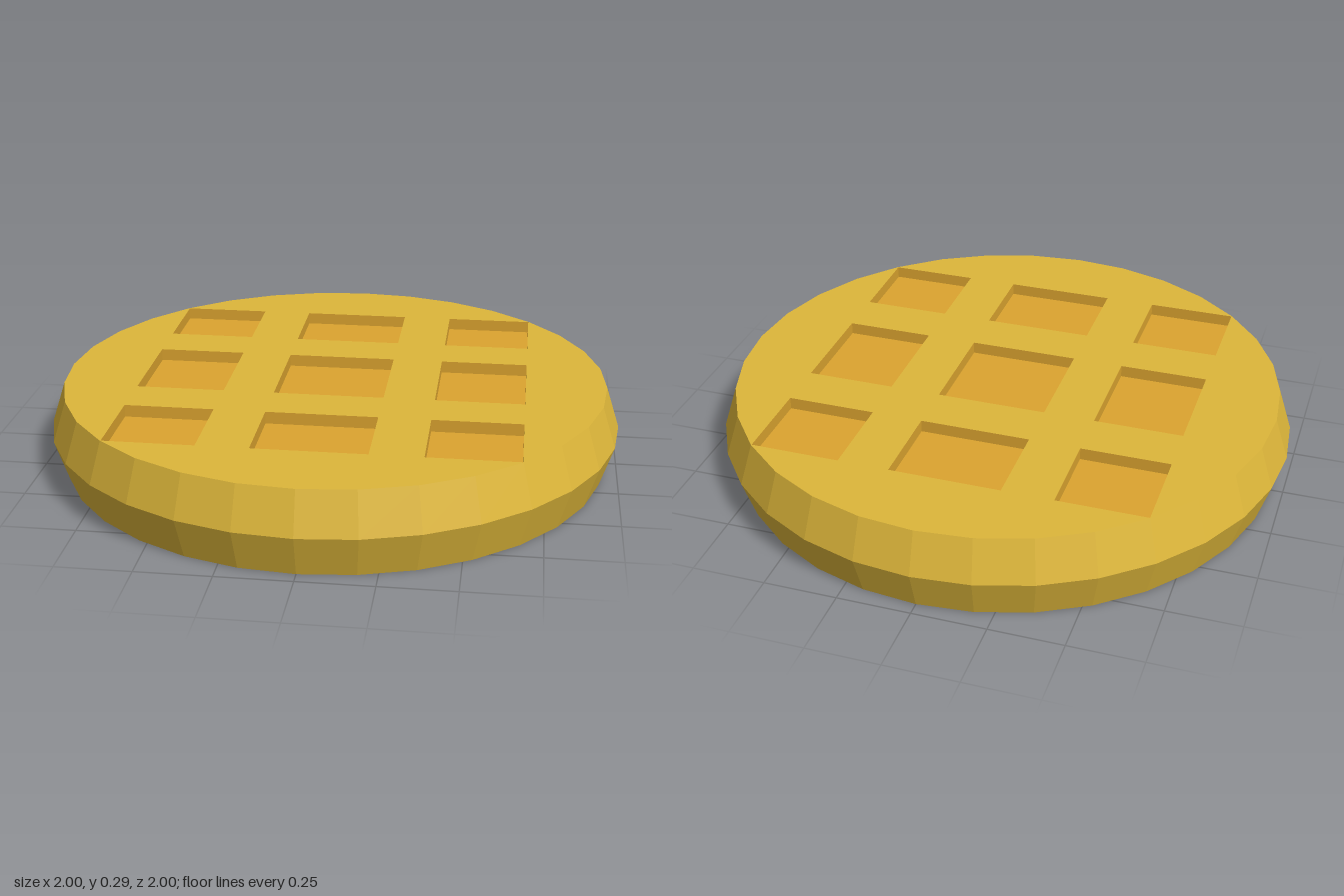
import * as THREE from 'three';
import { mergeGeometries } from 'three/addons/utils/BufferGeometryUtils.js';

const SIDES = 32, HEIGHT = 0.287, FACE_R = 0.953, DEPTH = 0.042;
// Pocket rows: the same [centre, size] bands run along x and z
const BANDS = [[-0.519, 0.306], [0, 0.38], [0.519, 0.306]];

// Sunken rectangular tray: a floor and four inward-facing walls, opening at y = 0
function trayGeometry(w, d) {
  const parts = [new THREE.PlaneGeometry(w, d).rotateX(-Math.PI / 2).translate(0, -DEPTH, 0)];
  for (let k = 0; k < 4; k++) {
    const [length, reach] = k % 2 ? [d, w / 2] : [w, d / 2];
    parts.push(new THREE.PlaneGeometry(length, DEPTH)
      .translate(0, -DEPTH / 2, -reach).rotateY(k * Math.PI / 2));
  }
  return mergeGeometries(parts);
}

// Flat round face with a rectangular opening for every pocket
function faceGeometry() {
  const shape = new THREE.Shape();
  const points = [];
  for (let i = 0; i < SIDES; i++) {
    const a = i / SIDES * Math.PI * 2;
    points.push(new THREE.Vector2(Math.cos(a) * FACE_R, Math.sin(a) * FACE_R));
  }
  shape.setFromPoints(points);
  for (const [x, w] of BANDS) for (const [z, d] of BANDS) {
    shape.holes.push(new THREE.Path()
      .moveTo(x - w / 2, z - d / 2).lineTo(x - w / 2, z + d / 2)
      .lineTo(x + w / 2, z + d / 2).lineTo(x + w / 2, z - d / 2).closePath());
  }
  return new THREE.ShapeGeometry(shape).rotateX(-Math.PI / 2);
}

export function createModel() {
  const model = new THREE.Group();
  model.name = 'waffle';
  const batter = new THREE.MeshStandardMaterial({ color: 0xddb63a, flatShading: true });
  batter.name = 'golden batter';
  const toasted = new THREE.MeshStandardMaterial({ color: 0xdca42f, flatShading: true });
  toasted.name = 'toasted orange';

  const add = (parent, name, geometry, material) => {
    const mesh = new THREE.Mesh(geometry, material);
    mesh.name = name;
    parent.add(mesh);
    return mesh;
  };

  // One half: bevelled rim, pierced face and nine pockets
  const buildHalf = (name) => {
    const half = new THREE.Group();
    half.name = name;
    add(half, 'rim', new THREE.CylinderGeometry(FACE_R, 1, HEIGHT / 2, SIDES, 1, true), batter)
      .position.y = HEIGHT / 4;
    add(half, 'face', faceGeometry(), batter).position.y = HEIGHT / 2;
    for (const [x, w] of BANDS) for (const [z, d] of BANDS) {
      add(half, 'pocket', trayGeometry(w, d), toasted).position.set(x, HEIGHT / 2, z);
    }
    half.position.y = HEIGHT / 2;
    model.add(half);
    return half;
  };

  buildHalf('topHalf');
  buildHalf('bottomHalf').rotation.x = Math.PI;
  return model;
}
